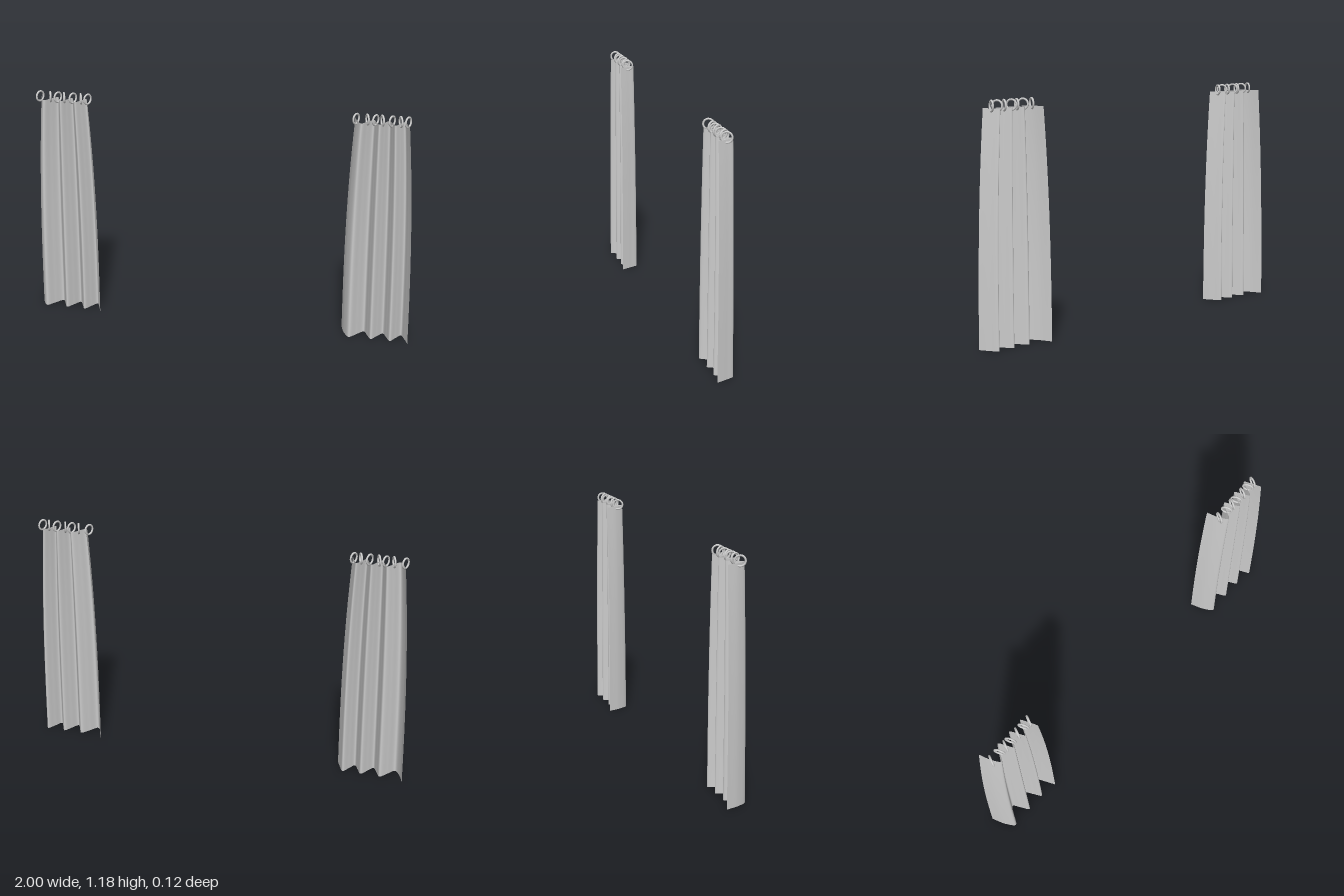
import * as THREE from 'three';

const HEIGHT = 1.147;
const material = new THREE.MeshStandardMaterial({ color: 0xcccccc, side: THREE.DoubleSide });

// Hem line of one curtain seen from above: x offset from its centre, z
const hem = new THREE.CatmullRomCurve3([
  [-0.18, -0.063], [-0.155, 0.008], [-0.122, 0.053], [-0.09, 0.01], [-0.058, -0.03],
  [-0.034, 0.01], [-0.01, 0.05], [0.015, 0.01], [0.04, -0.03], [0.064, 0.01],
  [0.088, 0.05], [0.111, 0.01], [0.135, -0.03], [0.157, 0.01], [0.18, 0.062],
].map(([x, z]) => new THREE.Vector3(x, 0, z)));

// Pleated cloth, gathered a little towards the top
function createCloth() {
  const geometry = new THREE.PlaneGeometry(1, 1, 98, 20);
  const pos = geometry.attributes.position;
  for (let i = 0; i < pos.count; i++) {
    const u = pos.getX(i) + 0.5;
    const t = pos.getY(i) + 0.5;
    const p = hem.getPoint(u);
    const gather = Math.pow(t, 2.5);
    pos.setXYZ(i, p.x * (1 - 0.21 * gather), 0.003 + t * (HEIGHT - 0.003), p.z * (1 - 0.12 * t));
  }
  geometry.computeVertexNormals();
  const cloth = new THREE.Mesh(geometry, material);
  cloth.name = 'cloth';
  return cloth;
}

// One hanging ring per pleat face, turned across the cloth
function createRings() {
  const rings = new THREE.Group();
  rings.name = 'rings';
  const geometry = new THREE.TorusGeometry(0.025, 0.0048, 10, 32);
  [-0.128, -0.072, -0.032, 0.002, 0.049, 0.092, 0.128].forEach((x, i) => {
    const ring = new THREE.Mesh(geometry, material);
    ring.name = 'ring';
    ring.position.set(x, 1.158, 0.011);
    ring.rotation.y = THREE.MathUtils.degToRad(i % 2 ? 114 : 66);
    rings.add(ring);
  });
  return rings;
}

export function createModel() {
  const model = new THREE.Group();
  model.name = 'curtainPair';
  for (const [name, x] of [['rightCurtain', -0.82], ['leftCurtain', 0.82]]) {
    const curtain = new THREE.Group();
    curtain.name = name;
    curtain.position.x = x;
    curtain.add(createCloth(), createRings());
    model.add(curtain);
  }
  return model;
}
